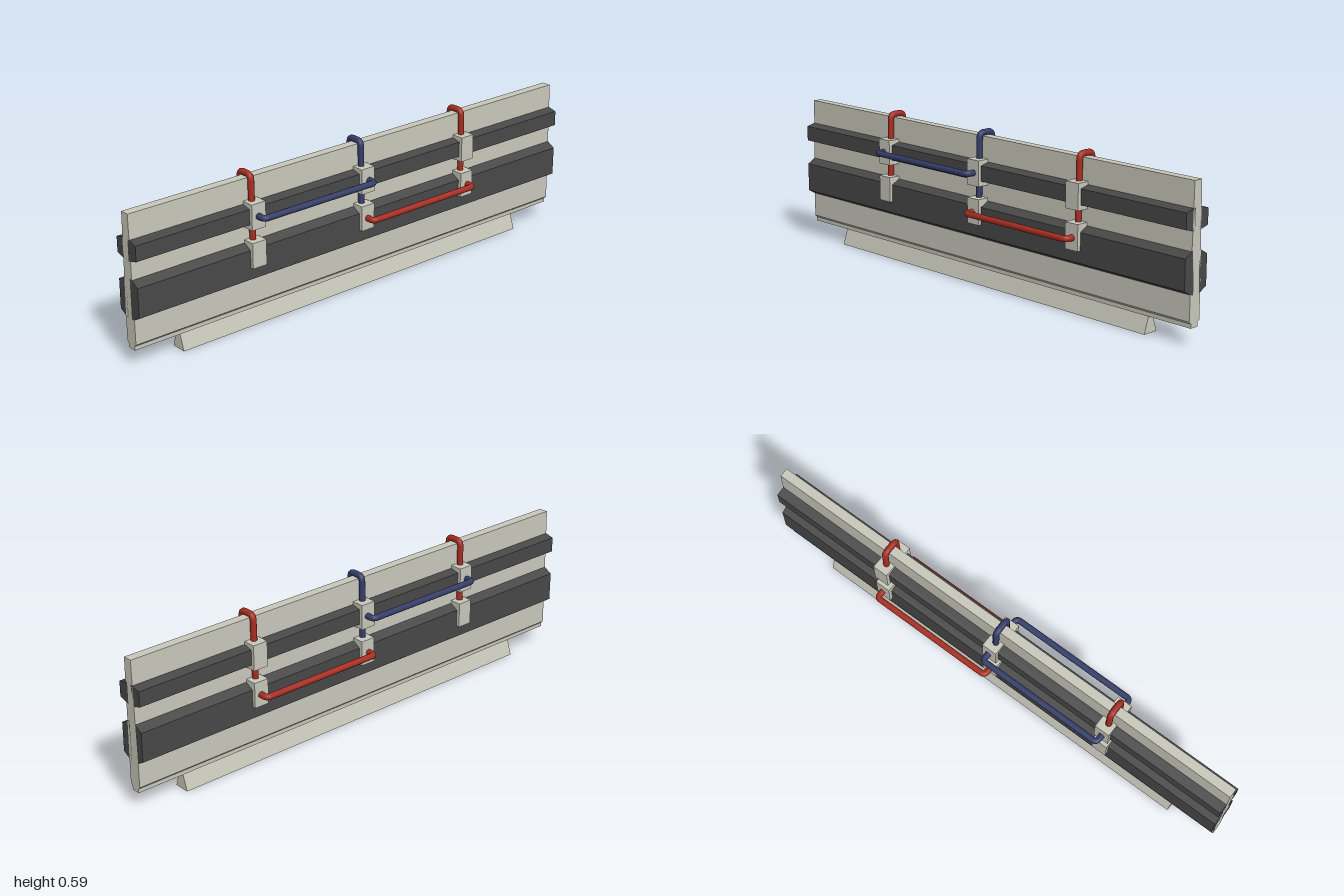
import * as THREE from 'three';

const paint = (name, color) => {
  const m = new THREE.MeshStandardMaterial({ color });
  m.name = name;
  return m;
};

// Extrude an xy outline along z, centred on z = 0
function bar(points, length) {
  const shape = new THREE.Shape(points.map(([x, y]) => new THREE.Vector2(x, y)));
  return new THREE.ExtrudeGeometry(shape, { depth: length, bevelEnabled: false }).translate(0, 0, -length / 2);
}

// Close a right-hand outline by mirroring it across x = 0
const mirrored = (half) => [...half, ...half.map(([x, y]) => [-x, y]).reverse()];

// Round rod through points, with rounded corners
function rod(points, bend, radius = 0.0118) {
  const p = points.map((q) => new THREE.Vector3(...q));
  const path = new THREE.CurvePath();
  let start = p[0];
  for (let i = 1; i < p.length - 1; i++) {
    const before = p[i].clone().add(p[i - 1].clone().sub(p[i]).setLength(bend));
    const after = p[i].clone().add(p[i + 1].clone().sub(p[i]).setLength(bend));
    path.add(new THREE.LineCurve3(start, before));
    path.add(new THREE.QuadraticBezierCurve3(before, p[i], after));
    start = after;
  }
  path.add(new THREE.LineCurve3(start, p[p.length - 1]));
  return new THREE.TubeGeometry(path, 160, radius, 12);
}

export function createModel() {
  const model = new THREE.Group();
  const pale = paint('pale concrete', 0xc8c7bb);
  const dark = paint('dark grey', 0x484848);
  const red = paint('red', 0xa62d21);
  const blue = paint('blue', 0x343d68);

  const add = (name, geometry, material) => {
    const mesh = new THREE.Mesh(geometry, material);
    mesh.name = name;
    model.add(mesh);
  };

  // Tapered wall panel and its foot
  add('panel', bar(mirrored([[0.017, 0.0625], [0.017, 0.078], [0.026, 0.087], [0.025, 0.18], [0.018, 0.565]]), 2), pale);
  add('foot', bar(mirrored([[0.031, 0], [0.01, 0.064]]), 1.62), pale);

  for (const s of [1, -1]) {
    // Bevelled strips along each face
    const strip = (y0, y1, y2, y3) => {
      const outline = [[0.01, y0 - 0.004], [0.025, y0], [0.055, y1], [0.055, y2], [0.02, y3], [0.01, y3 + 0.002]];
      return bar(outline.map(([x, y]) => [s * x, y]), 2);
    };
    add('upperStrip', strip(0.397, 0.405, 0.463, 0.472), dark);
    add('lowerStrip', strip(0.18, 0.197, 0.308, 0.328), dark);

    // Clamp blocks over the strips
    for (const z of [-0.5, 0, 0.5]) {
      for (const [name, y] of [['upperClamp', 0.435], ['lowerClamp', 0.29]]) {
        add(name, new THREE.BoxGeometry(0.05, 0.097, 0.06).translate(s * 0.0435, y, z), pale);
      }
    }

    // Handrails joining neighbouring clamps
    const rail = (y, z0, z1) =>
      rod([[s * 0.05, y, z0], [s * 0.101, y, z0], [s * 0.101, y, z1], [s * 0.05, y, z1]], 0.016);
    add('blueRail', rail(0.435, 0.502, -0.004), blue);
    add('redRail', rail(0.287, 0.002, -0.503), red);
  }

  // Hoops over the top edge, held by the clamps
  for (const [z, material] of [[0.503, red], [0.003, blue], [-0.499, red]]) {
    add('hoop', rod([[-0.035, 0.27, z], [-0.031, 0.577, z], [0.031, 0.577, z], [0.035, 0.27, z]], 0.02), material);
  }
  return model;
}
